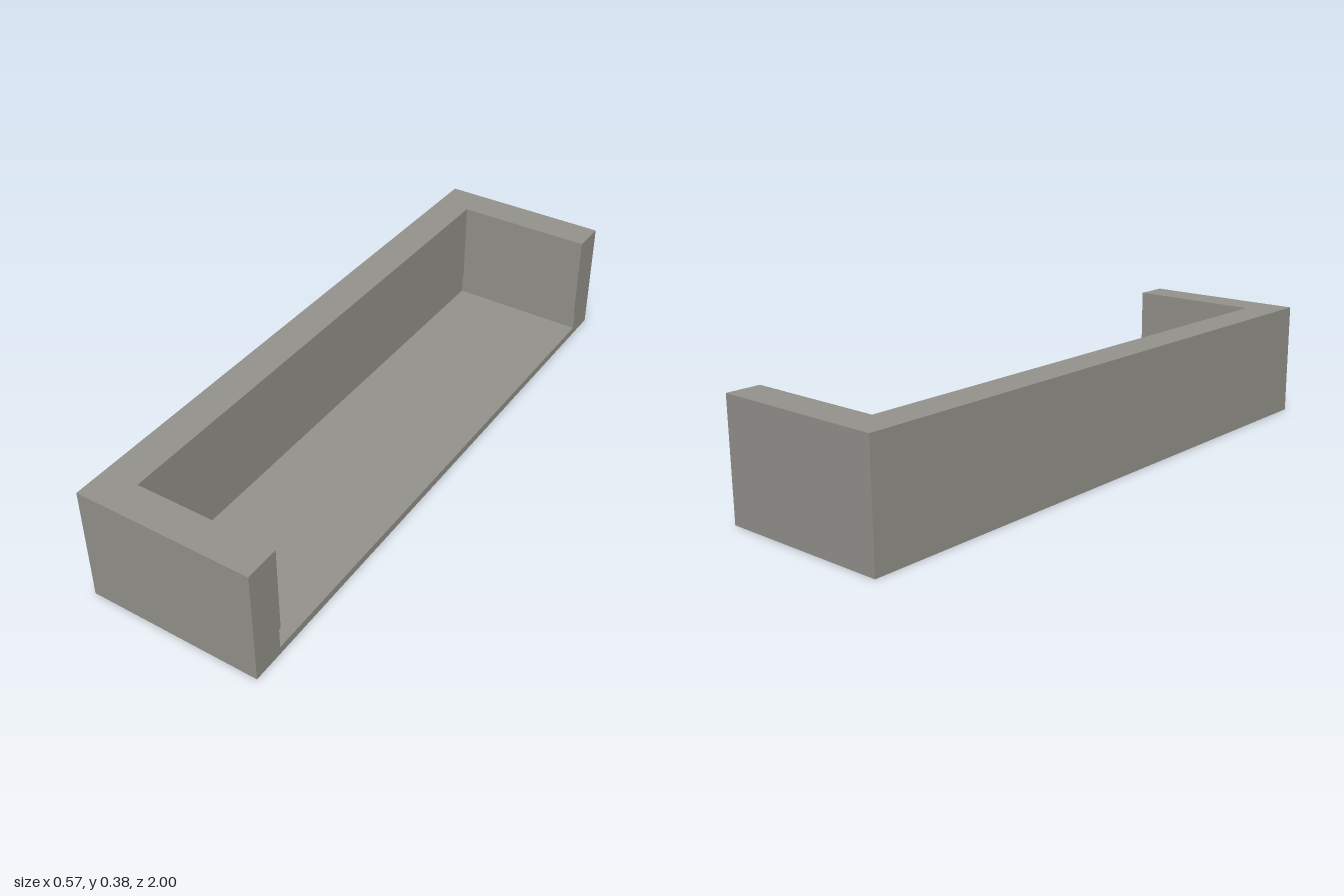
import * as THREE from 'three';

const HALF_X = 0.284, HALF_Z = 1;

// U-shaped wall seen from above: closed at -x, open at +x
function wallBand(innerX, innerZ, y0, y1) {
  const shape = new THREE.Shape([
    [-HALF_X, -HALF_Z], [HALF_X, -HALF_Z], [HALF_X, -innerZ], [innerX, -innerZ],
    [innerX, innerZ], [HALF_X, innerZ], [HALF_X, HALF_Z], [-HALF_X, HALF_Z],
  ].map(([x, z]) => new THREE.Vector2(x, z)));
  const geometry = new THREE.ExtrudeGeometry(shape, { depth: y1 - y0, bevelEnabled: false });
  return geometry.rotateX(-Math.PI / 2).translate(0, y0, 0);
}

export function createModel() {
  const group = new THREE.Group();
  group.name = 'openTray';
  const grey = new THREE.MeshStandardMaterial({ color: 0x94928c });
  grey.name = 'warm grey';

  const floorTop = 0.025, ledge = 0.093, top = 0.378;
  const add = (name, geometry) => {
    const mesh = new THREE.Mesh(geometry, grey);
    mesh.name = name;
    group.add(mesh);
  };

  // Thin base plate
  add('floor', new THREE.BoxGeometry(2 * HALF_X, floorTop, 2 * HALF_Z).translate(0, floorTop / 2, 0));
  // Slightly undercut groove just above the floor
  add('lowerWall', wallBand(-0.177, 0.895, floorTop, ledge));
  // Main wall with the two end returns
  add('upperWall', wallBand(-0.17, 0.888, ledge, top));

  return group;
}
